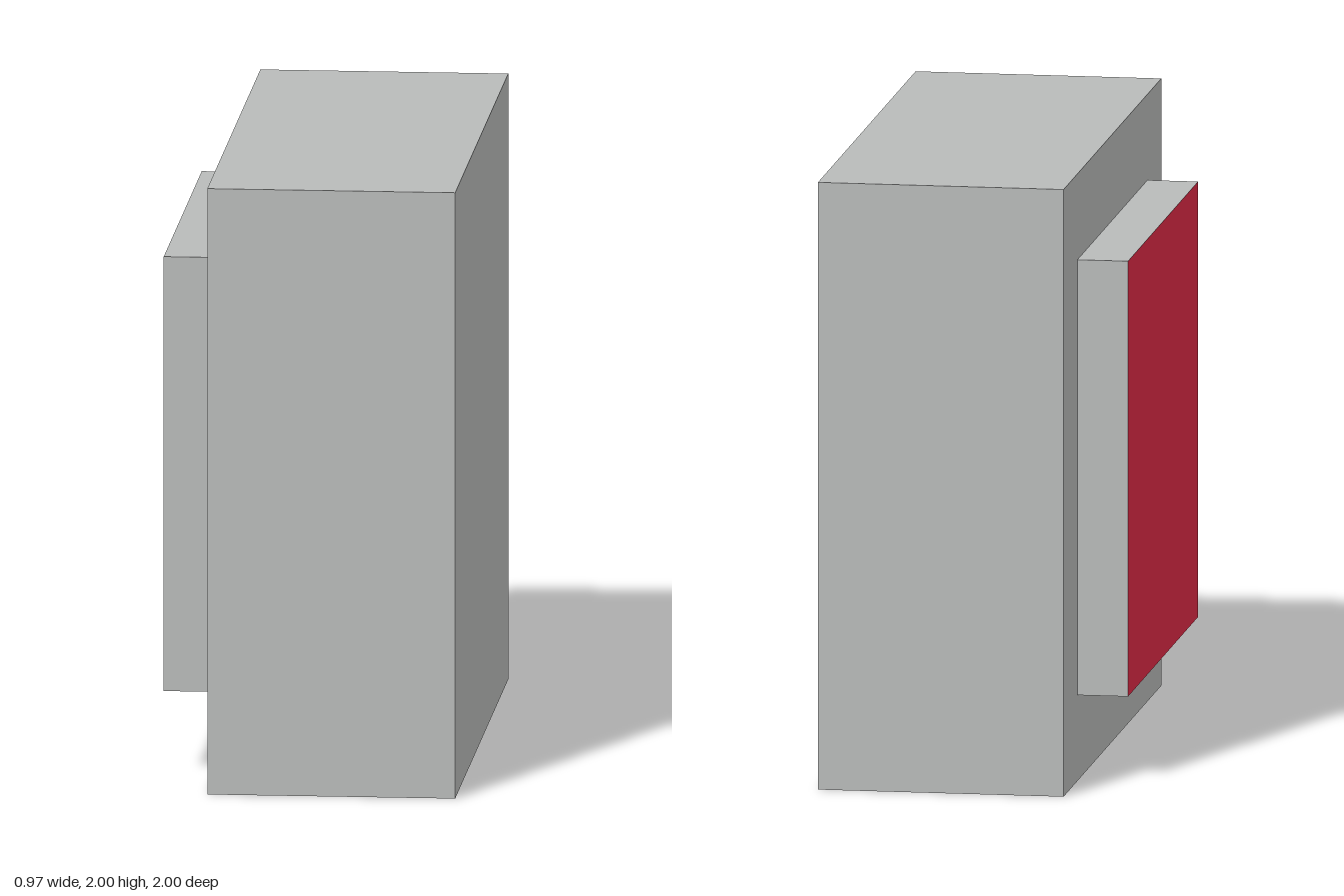
import * as THREE from 'three';

export function createModel() {
  const model = new THREE.Group();
  model.name = 'panelBlock';

  const grey = new THREE.MeshStandardMaterial({ color: 0xb8bab9 });
  grey.name = 'grey';
  const red = new THREE.MeshStandardMaterial({ color: 0xe02a47 });
  red.name = 'red';

  // Box spanning x0..x1, square in y and z, centred at y = 1
  const addBlock = (name, x0, x1, size, material) => {
    const mesh = new THREE.Mesh(new THREE.BoxGeometry(x1 - x0, size, size), material);
    mesh.position.set((x0 + x1) / 2, 1, 0);
    mesh.name = name;
    model.add(mesh);
  };

  // Main housing
  addBlock('housing', -0.32, 0.486, 2, grey);

  // Raised plate with a red outer (-x) face; group order is +x, -x, +y, -y, +z, -z
  addBlock('raisedPlate', -0.486, -0.32, 1.434, [grey, red, grey, grey, grey, grey]);

  return model;
}
